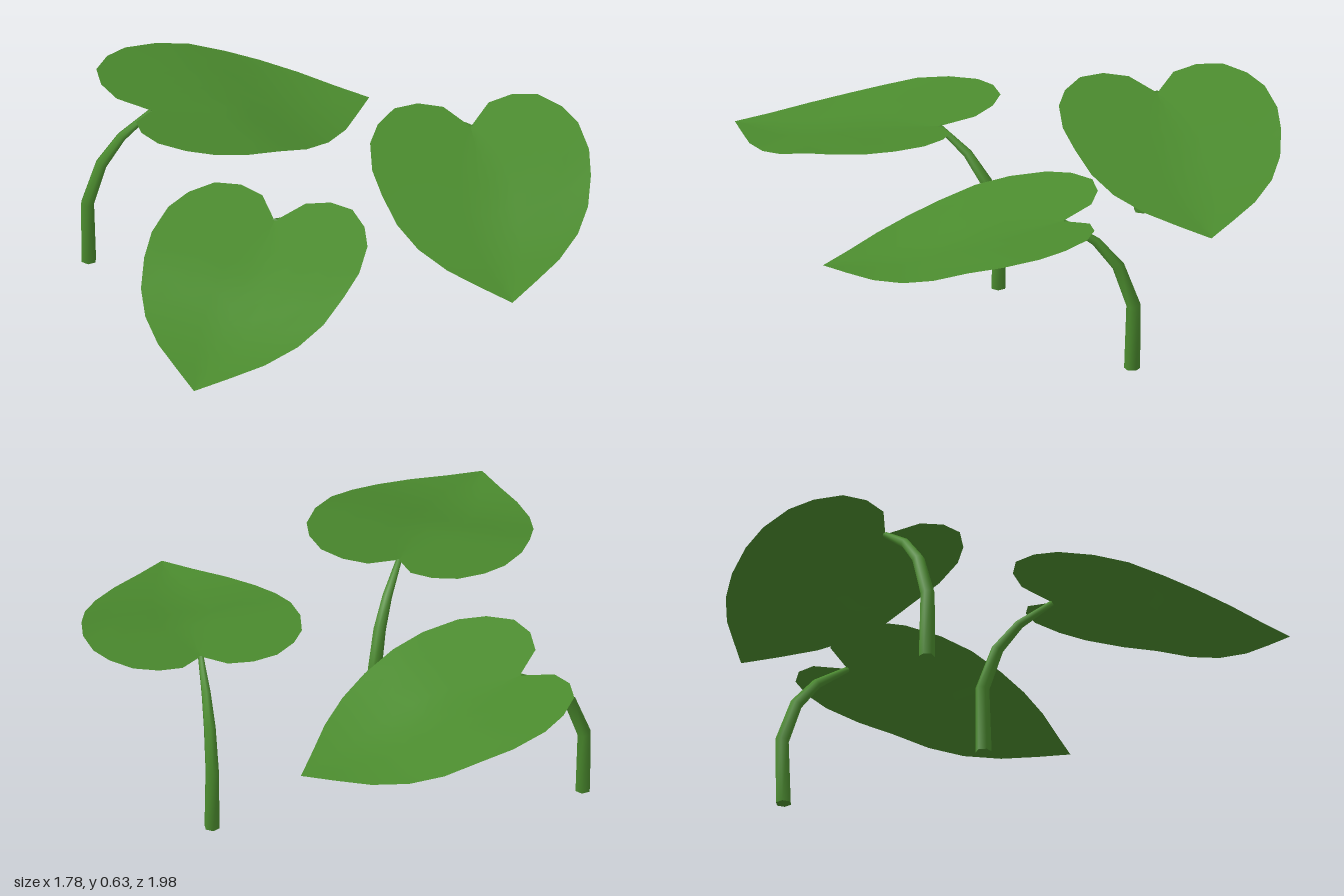
import * as THREE from 'three';

const green = new THREE.MeshStandardMaterial({ color: 0x4b8b2e, side: THREE.DoubleSide });
green.name = 'leaf green';

// Half outline of the heart from notch to tip: [half width, forward]
const OUTLINE = [
  [0, 0.25], [0.083, 0.15], [0.173, 0.13], [0.264, 0.153], [0.338, 0.23],
  [0.382, 0.322], [0.398, 0.455], [0.383, 0.58], [0.35, 0.707], [0.293, 0.82],
  [0.205, 0.93], [0.1, 1.026], [0, 1.118],
];

// Stem path: [forward, height, radius]
const STEM = [
  [0, 0, 0.029], [-0.005, 0.25, 0.026], [0.05, 0.405, 0.023], [0.13, 0.5, 0.018], [0.25, 0.578, 0.011],
];

// Leaf blade: straight slope, raised edges, slight droop toward the tip
function bladeHeight(x, z) {
  const t = THREE.MathUtils.clamp((z - 0.57) / 0.548, 0, 1);
  return 0.58 - 0.219 * (z - 0.25) + 0.095 * Math.abs(x) - 0.025 * Math.sin(Math.PI * t);
}

function bladeGeometry() {
  const rows = OUTLINE.length - 1, cols = 8;
  const geo = new THREE.PlaneGeometry(2, 1, cols, rows);
  const pos = geo.attributes.position;
  for (let i = 0; i < pos.count; i++) {
    const row = Math.floor(i / (cols + 1));
    const across = pos.getX(i);
    const [w, forward] = OUTLINE[row];
    const rib = THREE.MathUtils.lerp(0.25, 1.118, row / rows);
    const x = w * across;
    const z = THREE.MathUtils.lerp(rib, forward, Math.abs(across));
    pos.setXYZ(i, x, bladeHeight(x, z), z);
  }
  geo.computeVertexNormals();
  return geo;
}

// Stem: a six-sided cylinder bent and tapered along its path
function stemGeometry() {
  const last = STEM.length - 1;
  const geo = new THREE.CylinderGeometry(1, 1, 1, 6, last);
  const pos = geo.attributes.position;
  for (let i = 0; i < pos.count; i++) {
    const k = Math.round((pos.getY(i) + 0.5) * last);
    const [f, h, r] = STEM[k];
    const a = STEM[Math.max(k - 1, 0)], b = STEM[Math.min(k + 1, last)];
    const angle = k === 0 ? 0 : Math.atan2(b[0] - a[0], b[1] - a[1]);
    const side = pos.getZ(i) * r;
    pos.setXYZ(i, pos.getX(i) * r, h - Math.sin(angle) * side, f + Math.cos(angle) * side);
  }
  geo.computeVertexNormals();
  return geo;
}

export function createModel() {
  const model = new THREE.Group();
  model.name = 'leafCluster';
  const blade = bladeGeometry(), stem = stemGeometry();

  // Three identical leaves: [x, z, heading in degrees]
  const places = [[0.495, -0.47, -0.6], [-0.19, 0.03, -30.2], [-0.865, -0.472, 104.4]];
  for (const [x, z, heading] of places) {
    const plant = new THREE.Group();
    plant.name = 'leafPlant';
    const leafMesh = new THREE.Mesh(blade, green);
    leafMesh.name = 'leafBlade';
    const stemMesh = new THREE.Mesh(stem, green);
    stemMesh.name = 'stem';
    plant.add(leafMesh, stemMesh);
    plant.position.set(x, 0, z);
    plant.rotation.y = THREE.MathUtils.degToRad(heading);
    model.add(plant);
  }
  return model;
}
